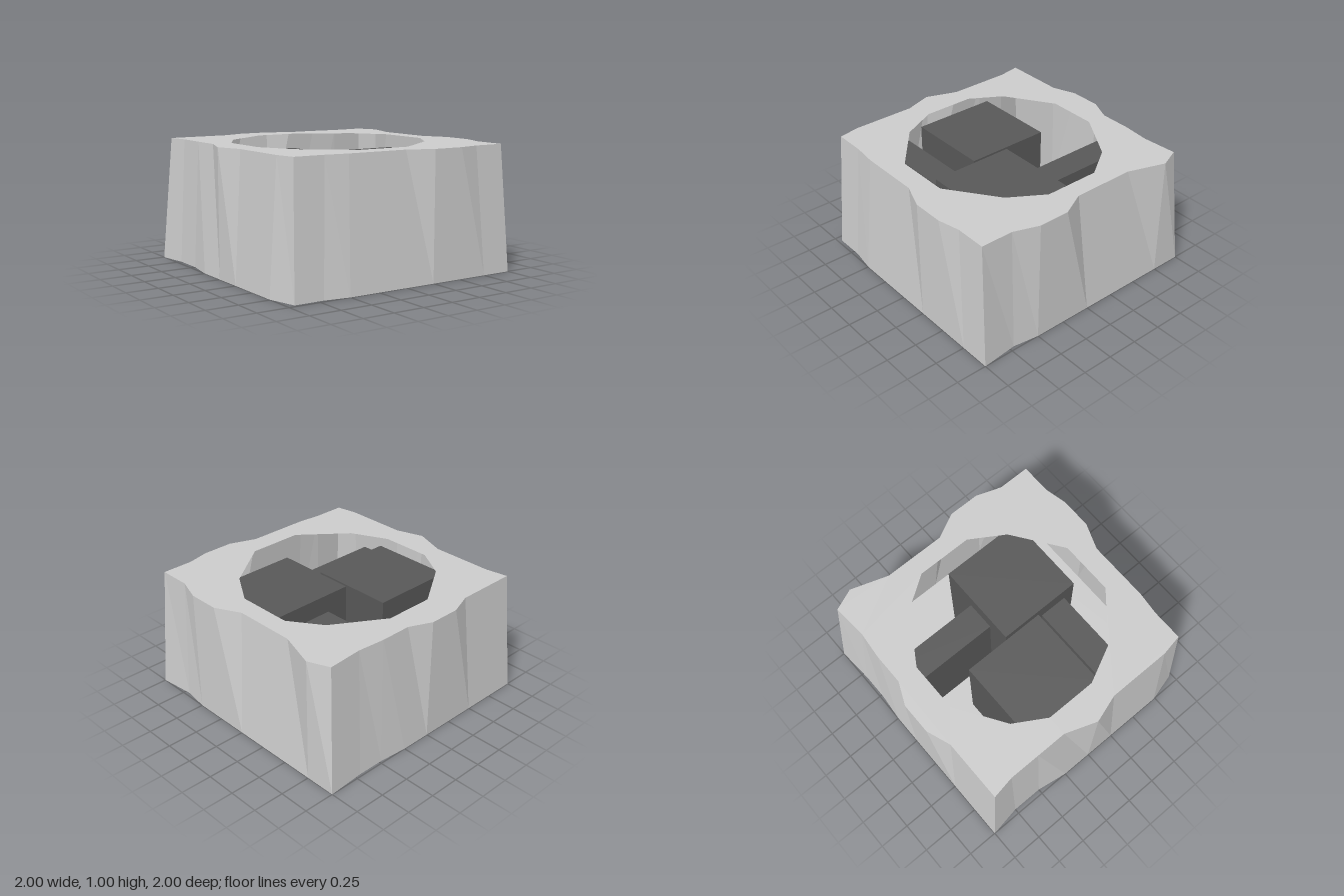
import * as THREE from 'three';

const HEIGHT = 1;

// Chipped outline of the top edge as [x, z], eight points per side: back, right, front, left
const RIM = [
  [-0.94, -0.93], [-0.75, -0.93], [-0.44, -0.93], [-0.25, -1], [0, -1], [0.18, -0.92], [0.43, -0.92], [0.65, -0.9],
  [0.93, -0.92], [1, -0.75], [0.9, -0.45], [0.9, -0.2], [0.9, 0.05], [1, 0.25], [1, 0.5], [0.93, 0.7],
  [0.93, 0.96], [0.68, 0.96], [0.5, 1], [0.25, 1], [0.04, 0.92], [-0.21, 0.92], [-0.46, 0.92], [-0.65, 0.9],
  [-0.9, 0.9], [-0.93, 0.73], [-0.93, 0.47], [-0.93, 0.22], [-1, 0], [-0.91, -0.25], [-0.91, -0.5], [-0.91, -0.75],
];

// The foot is a plain square with a few points chipped inward
const CHIPS = {
  6: [0.48, -0.98], 7: [0.7, -0.98], 15: [0.97, 0.71], 23: [-0.7, 0.97],
  24: [-0.94, 0.97], 25: [-1, 0.74], 30: [-0.96, -0.5], 31: [-0.96, -0.75],
};
const FOOT = RIM.map((_, i) => {
  if (CHIPS[i]) return CHIPS[i];
  const t = -1 + (i % 8) * 0.25;
  return [[t, -1], [1, t], [-t, 1], [-1, -t]][Math.floor(i / 8)];
});

// Twelve-sided opening in the top
const OPENING = [
  [-0.22, -0.75], [0.18, -0.75], [0.58, -0.5], [0.75, -0.25], [0.75, 0.2], [0.58, 0.47],
  [0.19, 0.75], [-0.25, 0.75], [-0.61, 0.45], [-0.75, 0.16], [-0.75, -0.25], [-0.6, -0.5],
];

const toPoints = (list, sign) => list.map(([x, z]) => new THREE.Vector2(x, sign * z));

// Faceted wall between the foot and the rim
function wallGeometry() {
  const positions = [];
  RIM.forEach((rim, i) => {
    const j = (i + 1) % RIM.length;
    const b0 = [FOOT[i][0], 0, FOOT[i][1]];
    const b1 = [FOOT[j][0], 0, FOOT[j][1]];
    const t0 = [rim[0], HEIGHT, rim[1]];
    const t1 = [RIM[j][0], HEIGHT, RIM[j][1]];
    positions.push(...b0, ...t0, ...t1, ...b0, ...t1, ...b1);
  });
  const geometry = new THREE.BufferGeometry();
  geometry.setAttribute('position', new THREE.Float32BufferAttribute(positions, 3));
  geometry.computeVertexNormals();
  return geometry;
}

export function createModel() {
  const model = new THREE.Group();
  model.name = 'hollowBlock';
  const stone = new THREE.MeshStandardMaterial({ color: 0xcccccc, flatShading: true, side: THREE.DoubleSide });
  const dark = new THREE.MeshStandardMaterial({ color: 0x585858 });

  const add = (name, geometry, material) => {
    const mesh = new THREE.Mesh(geometry, material);
    mesh.name = name;
    model.add(mesh);
    return mesh;
  };

  // Thin hollow shell
  add('outerWall', wallGeometry(), stone);

  const topShape = new THREE.Shape(toPoints(RIM, -1));
  topShape.holes.push(new THREE.Path(toPoints(OPENING, -1)));
  add('topPlate', new THREE.ShapeGeometry(topShape).rotateX(-Math.PI / 2).translate(0, HEIGHT, 0), stone);

  const floorShape = new THREE.Shape(toPoints(FOOT, 1));
  add('floor', new THREE.ShapeGeometry(floorShape).rotateX(Math.PI / 2), stone);

  // Dark blocks standing inside, given by x range, z range and top height
  const addBlock = (name, x0, x1, z0, z1, top) => {
    const base = 0.01;
    const mesh = add(name, new THREE.BoxGeometry(x1 - x0, top - base, z1 - z0), dark);
    mesh.position.set((x0 + x1) / 2, (top + base) / 2, (z0 + z1) / 2);
  };
  addBlock('largeBlockRight', -0.75, -0.06, -0.45, 0.24, 0.91);
  addBlock('largeBlockLeft', -0.04, 0.65, -0.07, 0.62, 0.91);
  addBlock('lowBarBack', 0.15, 0.385, -0.89, -0.07, 0.76);
  addBlock('lowBarSide', -0.86, -0.04, 0.3, 0.53, 0.76);

  return model;
}
